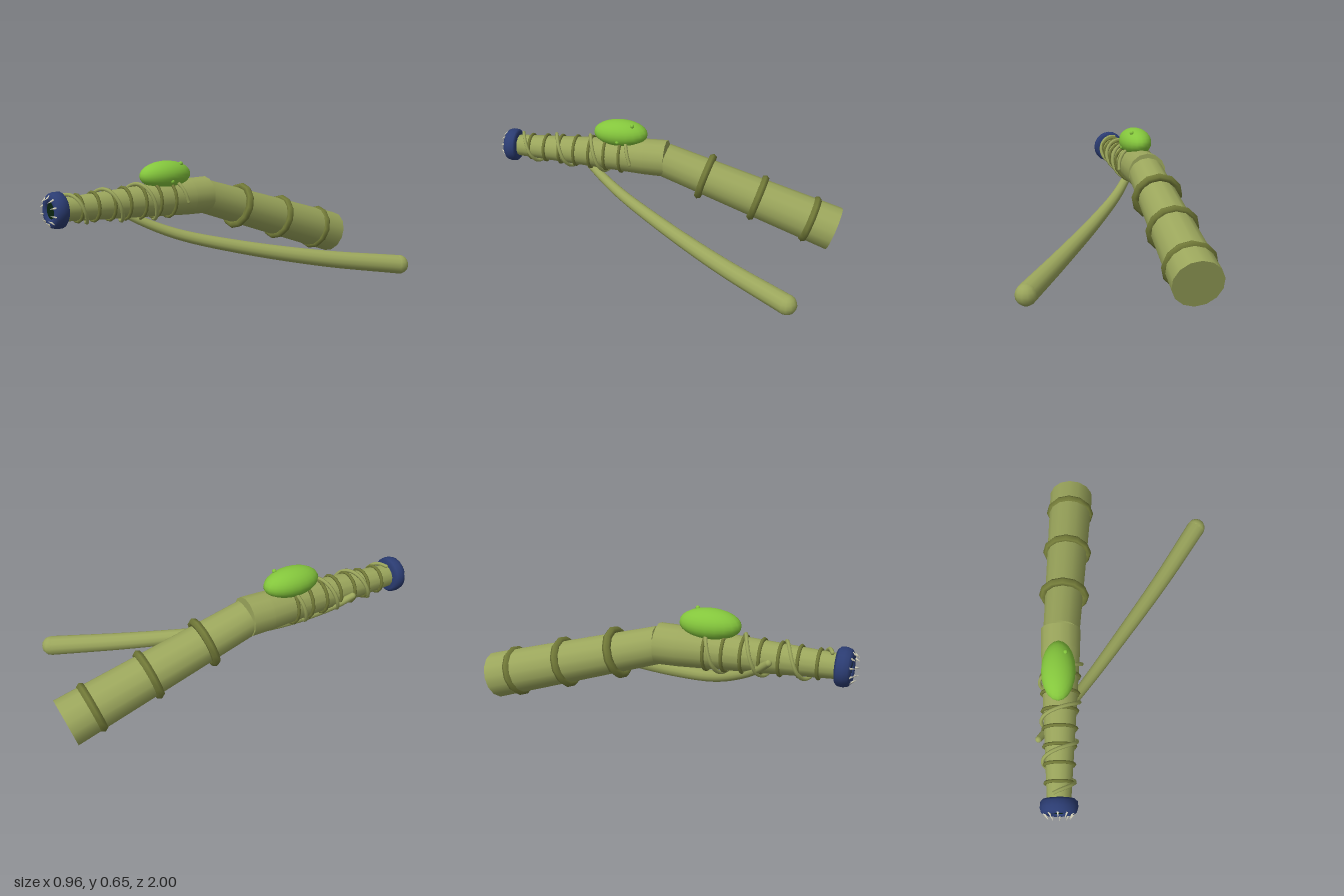
import * as THREE from 'three';

const mat = (name, color) => Object.assign(new THREE.MeshStandardMaterial({ color }), { name });
const V = (x, y, z) => new THREE.Vector3(x, y, z);

export function createModel() {
  const group = new THREE.Group();
  const olive = mat('olive skin', 0x9ba65c);
  const darkOlive = mat('dark olive bands', 0x727a38);
  const green = mat('bright green bulb', 0x84c63c);
  const blue = mat('navy lip', 0x2b3c72);
  const dark = mat('dark throat', 0x0a2410);
  const ivory = mat('ivory teeth', 0xd8d4bc);

  const add = (name, geometry, material) => {
    const mesh = new THREE.Mesh(geometry, material);
    mesh.name = name;
    group.add(mesh);
    return mesh;
  };

  // Tapered cylinder from a to b
  const limb = (name, a, b, ra, rb) => {
    const mesh = add(name, new THREE.CylinderGeometry(rb, ra, a.distanceTo(b), 14), olive);
    mesh.position.copy(a).lerp(b, 0.5);
    mesh.quaternion.setFromUnitVectors(V(0, 1, 0), b.clone().sub(a).normalize());
    return mesh;
  };

  // Ring around an axis
  const ring = (name, center, axis, radius, tube, material, sides = 14) => {
    const mesh = add(name, new THREE.TorusGeometry(radius, tube, 6, sides), material);
    mesh.position.copy(center);
    mesh.quaternion.setFromUnitVectors(V(0, 0, 1), axis);
    return mesh;
  };

  // Tube whose radius changes along its curve, with rounded ends
  const taperTube = (name, curve, steps, sides, radiusAt, material) => {
    const geo = new THREE.TubeGeometry(curve, steps, 1, sides);
    const pos = geo.attributes.position;
    const v = V(0, 0, 0);
    for (let i = 0; i <= steps; i++) {
      const c = curve.getPointAt(i / steps);
      for (let j = 0; j <= sides; j++) {
        const k = i * (sides + 1) + j;
        v.fromBufferAttribute(pos, k).sub(c).multiplyScalar(radiusAt(i / steps)).add(c);
        pos.setXYZ(k, v.x, v.y, v.z);
      }
    }
    add(name, geo, material);
    for (const u of [0, 1]) {
      add(name + 'End', new THREE.SphereGeometry(radiusAt(u), sides, 8), material)
        .position.copy(curve.getPointAt(u));
    }
  };

  // Trunk: sloping rear half and level front half
  const rear = V(-0.32, 0.125, -0.962), joint = V(-0.347, 0.438, 0.02);
  limb('rearTrunk', rear, joint, 0.125, 0.096);
  const cx = -0.35, cy = 0.445;
  limb('frontTrunk', V(cx, cy, 0.01), V(cx, cy, 0.13), 0.105, 0.103);
  limb('frontTrunkTaper', V(cx, cy, 0.13), V(cx, cy, 0.92), 0.103, 0.06);

  // Thick bands on the rear trunk
  const axis = joint.clone().sub(rear).normalize();
  for (const z of [-0.22, -0.525, -0.825]) {
    const t = (z - rear.z) / (joint.z - rear.z);
    ring('rearBand', rear.clone().lerp(joint, t), axis, 0.115, 0.022, darkOlive, 12);
  }

  // Thin ribs on the front trunk
  const trunkRadius = z => 0.103 - 0.043 * (z - 0.13) / 0.79;
  for (let i = 0; i < 7; i++) {
    const z = 0.27 + i * 0.0917;
    ring('rib', V(cx, cy, z), V(0, 0, 1), trunkRadius(z) + 0.005, 0.009, darkOlive);
  }

  // Vine spiralling round the front trunk
  const vinePoints = [];
  for (let i = 0; i <= 56; i++) {
    const z = 0.88 - 0.68 * i / 56;
    const a = 2 * Math.PI * (0.87 - z) / 0.205;
    const r = trunkRadius(z) + 0.012;
    vinePoints.push(V(cx + r * Math.sin(a), cy + r * Math.cos(a), z));
  }
  taperTube('spiralVine', new THREE.CatmullRomCurve3(vinePoints), 120, 6, () => 0.01, olive);

  // Long side branch passing under the trunk
  const branch = new THREE.CatmullRomCurve3([
    V(-0.455, 0.455, 0.6), V(-0.43, 0.42, 0.56), V(-0.38, 0.368, 0.49), V(-0.25, 0.268, 0.29),
    V(-0.06, 0.187, 0), V(0.2, 0.11, -0.4), V(0.428, 0.063, -0.772),
  ]);
  taperTube('sideBranch', branch, 32, 12, u => 0.017 + 0.036 * Math.pow(u, 0.75), olive);

  // Bulb with small bumps
  const bulb = add('bulb', new THREE.SphereGeometry(1, 20, 14), green);
  bulb.scale.set(0.087, 0.077, 0.157);
  bulb.position.set(cx, 0.578, 0.278);
  for (const [x, y, z] of [[-0.31, 0.638, 0.2], [-0.275, 0.547, 0.28]]) {
    add('bulbBump', new THREE.SphereGeometry(0.012, 8, 6), green).position.set(x, y, z);
  }

  // Round mouth: lip, throat and teeth
  const lipProfile = [[0.03, 0.9], [0.08, 0.9], [0.093, 0.912], [0.095, 0.94], [0.088, 0.963],
    [0.074, 0.975], [0.055, 0.975], [0.042, 0.965], [0.038, 0.94]];
  const lip = add('mouthLip', new THREE.LatheGeometry(
    lipProfile.map(([r, z]) => new THREE.Vector2(r, z)), 20).rotateX(Math.PI / 2), blue);
  lip.position.set(cx, cy, 0);
  add('throat', new THREE.CircleGeometry(0.043, 20), dark).position.set(cx, cy, 0.965);
  for (let i = 0; i < 10; i++) {
    const a = (i + 0.5) * Math.PI / 5;
    const out = V(Math.cos(a), Math.sin(a), 0);
    const tooth = add('tooth', new THREE.ConeGeometry(0.007, 0.036, 6), ivory);
    tooth.position.copy(out).multiplyScalar(0.065).add(V(cx, cy, 0.983));
    tooth.quaternion.setFromUnitVectors(V(0, 1, 0),
      out.multiplyScalar(-0.55).add(V(0, 0, 0.83)).normalize());
  }
  return group;
}
